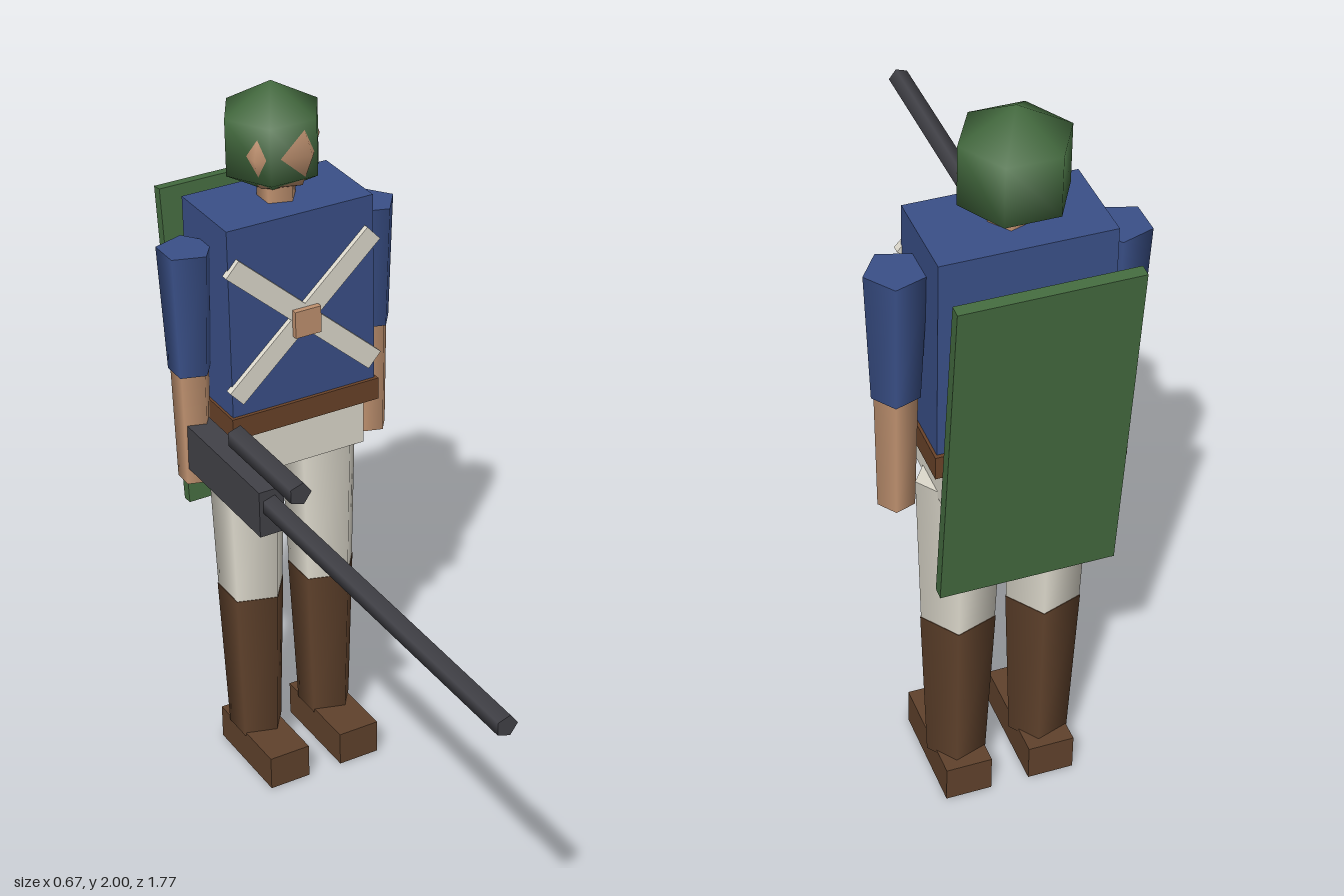
import * as THREE from 'three';

const mat = (name, color) => {
  const m = new THREE.MeshStandardMaterial({ color });
  m.name = name;
  return m;
};

export function createModel() {
  const blue = mat('coat blue', 0x3a5088);
  const cream = mat('cloth cream', 0xdfdbce);
  const skin = mat('skin', 0xc09270);
  const boots = mat('boot brown', 0x60422c);
  const leather = mat('belt brown', 0x6a4329);
  const green = mat('green', 0x456c40);
  const metal = mat('gun metal', 0x424248);

  const model = new THREE.Group();
  model.name = 'soldier';
  const CX = -0.008; // body centre line
  const CZ = -0.62;

  const add = (name, geometry, material, x, y, z) => {
    const mesh = new THREE.Mesh(geometry, material);
    mesh.name = name;
    mesh.position.set(x, y, z);
    model.add(mesh);
    return mesh;
  };
  const box = (name, material, w, h, d, x, y, z) =>
    add(name, new THREE.BoxGeometry(w, h, d), material, x, y, z);
  // Five-sided tapered limb with one corner towards +x
  const limb = (name, material, rTop, rBottom, y0, y1, x, z = CZ) =>
    add(name, new THREE.CylinderGeometry(rTop, rBottom, y1 - y0, 5, 1, false, Math.PI / 2),
      material, x, (y0 + y1) / 2, z);
  // Five-sided tube lying along z
  const tube = (name, r, z0, z1, y) => {
    const t = limb(name, metal, r, r, z0, z1, -0.272, (z0 + z1) / 2);
    t.position.y = y;
    t.rotation.x = Math.PI / 2;
  };

  // Body
  box('torso', blue, 0.42, 0.53, 0.24, CX, 1.43, CZ);
  box('belt', leather, 0.434, 0.062, 0.26, CX, 1.135, CZ);
  box('hips', cream, 0.364, 0.135, 0.22, CX, 1.04, CZ);

  // Limbs, one of each per side
  for (const [side, s] of [['left', 1], ['right', -1]]) {
    const legX = CX + s * 0.11;
    const armX = CX + s * 0.266;
    limb(side + 'Thigh', cream, 0.109, 0.094, 0.55, 0.99, legX);
    limb(side + 'Boot', boots, 0.096, 0.077, 0.09, 0.552, legX);
    box(side + 'Foot', boots, 0.12, 0.1, 0.29, legX, 0.05, -0.575);
    limb(side + 'Sleeve', blue, 0.075, 0.059, 1.27, 1.615, armX);
    limb(side + 'Forearm', skin, 0.053, 0.046, 0.948, 1.275, armX);
  }

  // Head, with a rounded helmet whose front the face just breaks through
  limb('neck', skin, 0.053, 0.053, 1.68, 1.76, CX);
  const head = add('head', new THREE.SphereGeometry(0.126, 5, 4), skin, CX, 1.84, CZ);
  head.rotation.y = Math.PI;
  add('helmet', new THREE.SphereGeometry(0.153, 6, 3), green, CX, 1.848, -0.64);

  // Crossed chest straps and buckle
  for (const s of [1, -1]) {
    box('chestStrap', cream, 0.55, 0.055, 0.02, CX, 1.41, -0.496).rotation.z = s * 0.735;
  }
  box('strapBuckle', skin, 0.075, 0.075, 0.02, CX, 1.4, -0.48);

  // Tilted board on the back
  box('backShield', green, 0.436, 0.9, 0.03, CX, 1.222, -0.822).rotation.x = -0.1;

  // Long gun in the right hand
  box('gunBody', metal, 0.07, 0.13, 0.455, -0.272, 1.06, -0.4275);
  tube('gunBarrel', 0.029, -0.21, 0.885, 1.08);
  tube('gunScope', 0.032, -0.375, -0.05, 1.19);

  return model;
}
